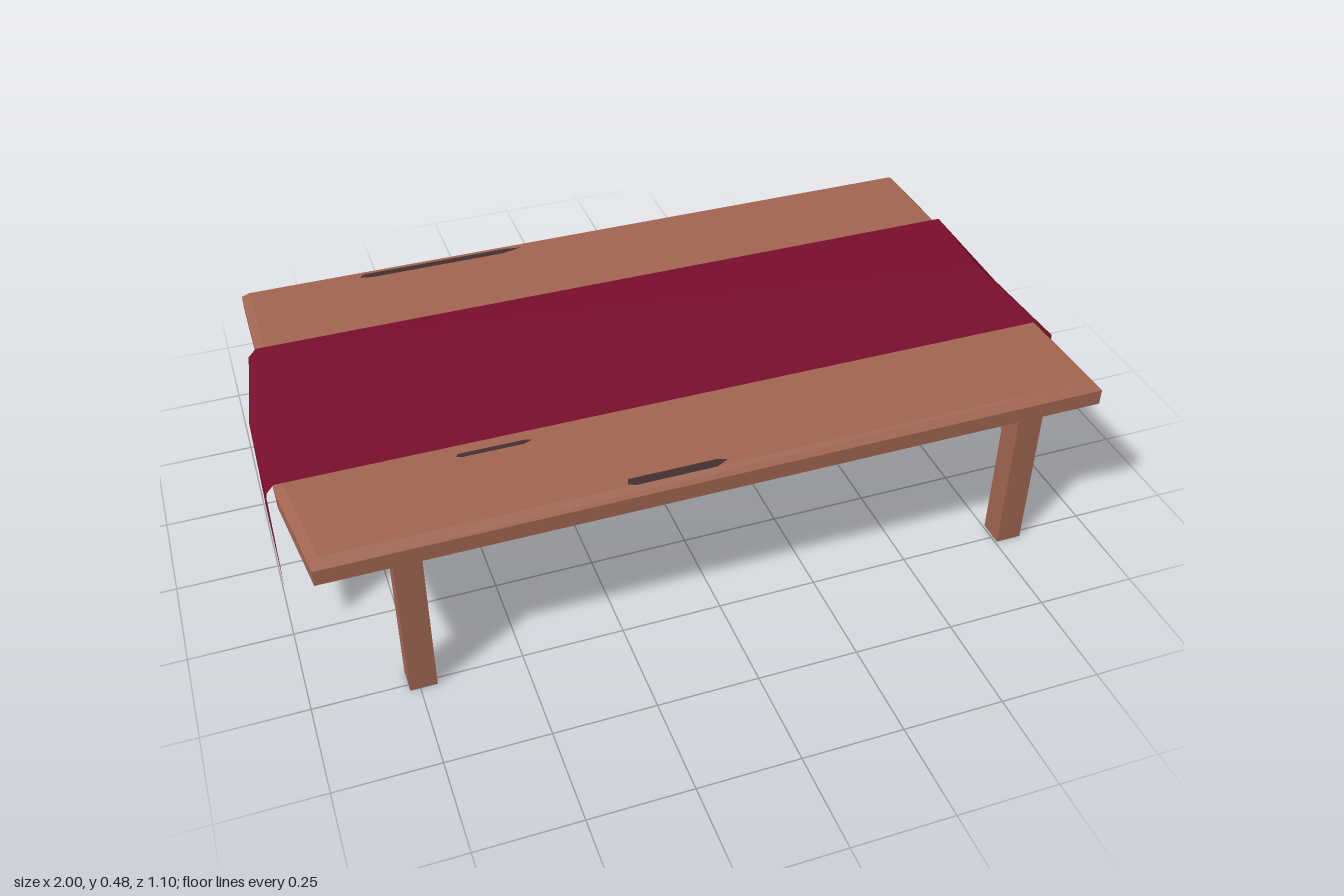
import * as THREE from 'three';

const mat = (name, color, extra = {}) => {
  const m = new THREE.MeshStandardMaterial({ color, flatShading: true, ...extra });
  m.name = name;
  return m;
};

// Flat-shaded geometry from a list of triangles of Vector3 corners
function fromTriangles(tris) {
  const g = new THREE.BufferGeometry().setFromPoints(tris.flat());
  g.computeVertexNormals();
  return g;
}

export function createModel() {
  const model = new THREE.Group();
  const wood = mat('wood', 0xa06450);
  const cloth = mat('burgundyCloth', 0x780e2c, { side: THREE.DoubleSide });
  const dark = mat('darkGrain', 0x422f2f);
  const V = (x, y, z) => new THREE.Vector3(x, y, z);

  const add = (name, geometry, material, parent = model) => {
    const mesh = new THREE.Mesh(geometry, material);
    mesh.name = name;
    parent.add(mesh);
    return mesh;
  };

  // Slab: uneven plank outline (x, z), with a bevel round the top edge
  const outline = [
    [-0.945, -0.55], [-0.945, -0.27], [-0.98, 0], [-0.98, 0.27],
    [-0.945, 0.545], [0.957, 0.545], [0.945, 0], [0.937, -0.55],
  ];
  const ring = (y, inset) => outline.map(([x, z]) =>
    V(x - Math.sign(x) * inset, y, Math.abs(z) > 0.5 ? z - Math.sign(z) * inset : z));
  const rings = [ring(0.415, 0), ring(0.455, 0), ring(0.475, 0.02)];
  const slab = [];
  for (let r = 0; r < 2; r++) {
    outline.forEach((_, i) => {
      const j = (i + 1) % outline.length;
      const [a, b, c, d] = [rings[r][i], rings[r][j], rings[r + 1][j], rings[r + 1][i]];
      slab.push([a, b, c], [a, c, d]);
    });
  }
  const caps = THREE.ShapeUtils.triangulateShape(outline.map(([x, z]) => new THREE.Vector2(x, z)), []);
  const cap = (points, up) => caps.forEach((t) => {
    const [a, b, c] = t.map((i) => points[i]);
    const normalY = b.clone().sub(a).cross(c.clone().sub(a)).y;
    slab.push((normalY > 0) === up ? [a, b, c] : [a, c, b]);
  });
  cap(rings[0], false);
  cap(rings[2], true);
  add('tabletop', fromTriangles(slab), wood);

  // Legs with dark end grain underneath
  const legMaterials = [wood, wood, wood, dark, wood, wood];
  for (const x of [-0.742, 0.788]) {
    for (const z of [-0.458, 0.487]) {
      const leg = add('leg', new THREE.BoxGeometry(0.065, 0.416, 0.065), legMaterials);
      leg.position.set(x, 0.208, z);
    }
  }

  // Table runner: cross-sections from the left hem over the top to the right hem
  const sections = [
    { x: [-0.965, -1, -1], y: 0.185, z: [-0.27, 0, 0.28] },
    { x: [-0.965, -1, -1], y: 0.46, z: [-0.265, 0, 0.271] },
    { x: [-0.945, -0.98, -0.98], y: 0.482, z: [-0.263, 0, 0.27] },
    { x: [0.936, 0.92, 0.936], y: 0.482, z: [-0.263, 0, 0.27] },
    { x: [0.975, 0.975, 0.986], y: 0.43, z: [-0.265, 0, 0.271] },
    { x: [0.98, 0.98, 1], y: 0.203, z: [-0.27, 0, 0.28] },
  ].map((s) => s.x.map((x, i) => V(x, s.y, s.z[i])));
  const runner = [];
  for (let s = 0; s < sections.length - 1; s++) {
    for (let i = 0; i < 2; i++) {
      const [a, b] = [sections[s][i], sections[s][i + 1]];
      const [d, c] = [sections[s + 1][i], sections[s + 1][i + 1]];
      runner.push([a, b, c], [a, c, d]);
    }
  }
  add('tableRunner', fromTriangles(runner), cloth);

  // Grain streaks: thin pointed slivers, laid flat then turned to their face
  const grain = new THREE.Group();
  grain.name = 'grainMarks';
  model.add(grain);
  const streak = (length, width, position, rotation) => {
    const l = length / 2, w = width / 2;
    const shape = new THREE.Shape([
      [-l, -w * 0.4], [-l * 0.85, -w], [l * 0.75, -w], [l, w * 0.3], [l * 0.8, w], [-l * 0.95, w],
    ].map(([x, y]) => new THREE.Vector2(x, y)));
    const mesh = add('grainStreak', new THREE.ShapeGeometry(shape), dark, grain);
    mesh.position.set(...position);
    mesh.rotation.set(...rotation);
  };
  const up = [-Math.PI / 2, 0, 0], down = [Math.PI / 2, 0, 0];
  streak(0.44, 0.02, [-0.42, 0.4765, -0.508], up);
  streak(0.18, 0.014, [-0.485, 0.4765, 0.3], up);
  streak(0.24, 0.025, [-0.12, 0.4775, 0.517], up);
  // Underside streaks
  streak(0.7, 0.012, [0.35, 0.4135, -0.18], down);
  streak(1.05, 0.012, [0.12, 0.4135, 0.33], down);
  streak(0.12, 0.04, [0.2, 0.413, 0.33], down);
  streak(0.08, 0.014, [-0.22, 0.4135, -0.12], down);
  streak(0.14, 0.014, [-0.43, 0.4135, -0.14], down);
  // Knot on the right bevel
  streak(0.03, 0.02, [0.931, 0.467, -0.447], [0, Math.PI / 2, 0]);
  // Upright streaks and knots on the back of the rear legs
  for (const x of [-0.742, 0.788]) {
    streak(0.24, 0.012, [x - 0.012, 0.27, -0.492], [0, Math.PI, Math.PI / 2]);
    streak(0.05, 0.025, [x - 0.005, 0.37, -0.4925], [0, Math.PI, Math.PI / 2]);
    streak(0.03, 0.012, [x + 0.015, 0.06, -0.492], [0, Math.PI, Math.PI / 2]);
  }
  return model;
}
